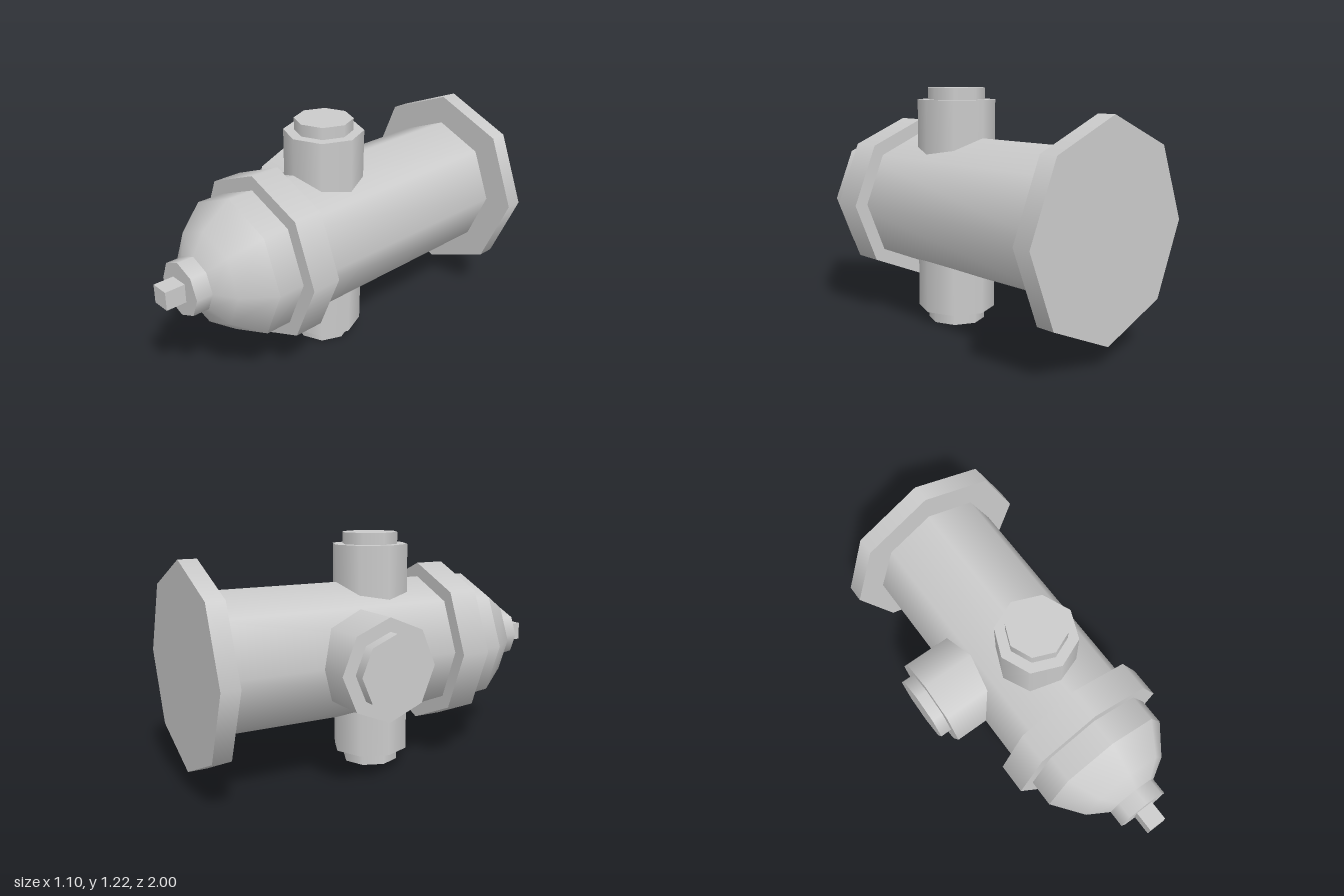
import * as THREE from 'three';

const material = new THREE.MeshStandardMaterial({ color: 0xcccccc });
const CX = 0.04, CY = 0.61; // main axis of the body
const SIDES = 8;

export function createModel() {
  const group = new THREE.Group();
  group.name = 'hydrant';

  function add(name, geometry, parent = group) {
    const mesh = new THREE.Mesh(geometry, material);
    mesh.name = name;
    parent.add(mesh);
    return mesh;
  }

  // Eight-sided drum along z, from z0 to z1
  function drumZ(name, radius, z0, z1) {
    const g = new THREE.CylinderGeometry(radius, radius, z1 - z0, SIDES);
    g.rotateX(Math.PI / 2);
    add(name, g).position.set(CX, CY, (z0 + z1) / 2);
  }

  // Outlet running out along local +y: wide neck, then a narrower cap
  function outlet(name, z, neckR, neckEnd, capR, capEnd) {
    const part = new THREE.Group();
    part.name = name;
    part.position.set(CX, CY, z);
    const neck = new THREE.CylinderGeometry(neckR, neckR, neckEnd, SIDES);
    add('outletNeck', neck, part).position.y = neckEnd / 2;
    const len = capEnd - neckEnd + 0.02;
    const cap = new THREE.CylinderGeometry(capR, capR, len, SIDES);
    add('outletCap', cap, part).position.y = capEnd - len / 2;
    group.add(part);
    return part;
  }

  // Body
  drumZ('baseFlange', 0.508, -1, -0.908);
  drumZ('barrel', 0.357, -0.95, 0.6);
  drumZ('collar', 0.43, 0.308, 0.463);

  // Rounded bonnet
  const profile = [[0.357, 0.6], [0.243, 0.75], [0.137, 0.812]]
    .map(([r, z]) => new THREE.Vector2(r, z));
  const bonnet = new THREE.LatheGeometry(profile, SIDES);
  bonnet.rotateX(Math.PI / 2);
  add('bonnet', bonnet).position.set(CX, CY, 0);

  // Bonnet cap and square operating nut
  drumZ('bonnetCap', 0.137, 0.808, 0.897);
  add('operatingNut', new THREE.BoxGeometry(0.094, 0.094, 0.11))
    .position.set(CX, CY, 0.945);

  // Two small outlets opposite each other, one large outlet on the side
  outlet('topOutlet', 0.01, 0.199, 0.545, 0.146, 0.605);
  outlet('bottomOutlet', 0.01, 0.199, 0.545, 0.146, 0.61).rotation.x = Math.PI;
  outlet('sideOutlet', -0.19, 0.25, 0.528, 0.183, 0.588).rotation.z = Math.PI / 2;

  return group;
}
